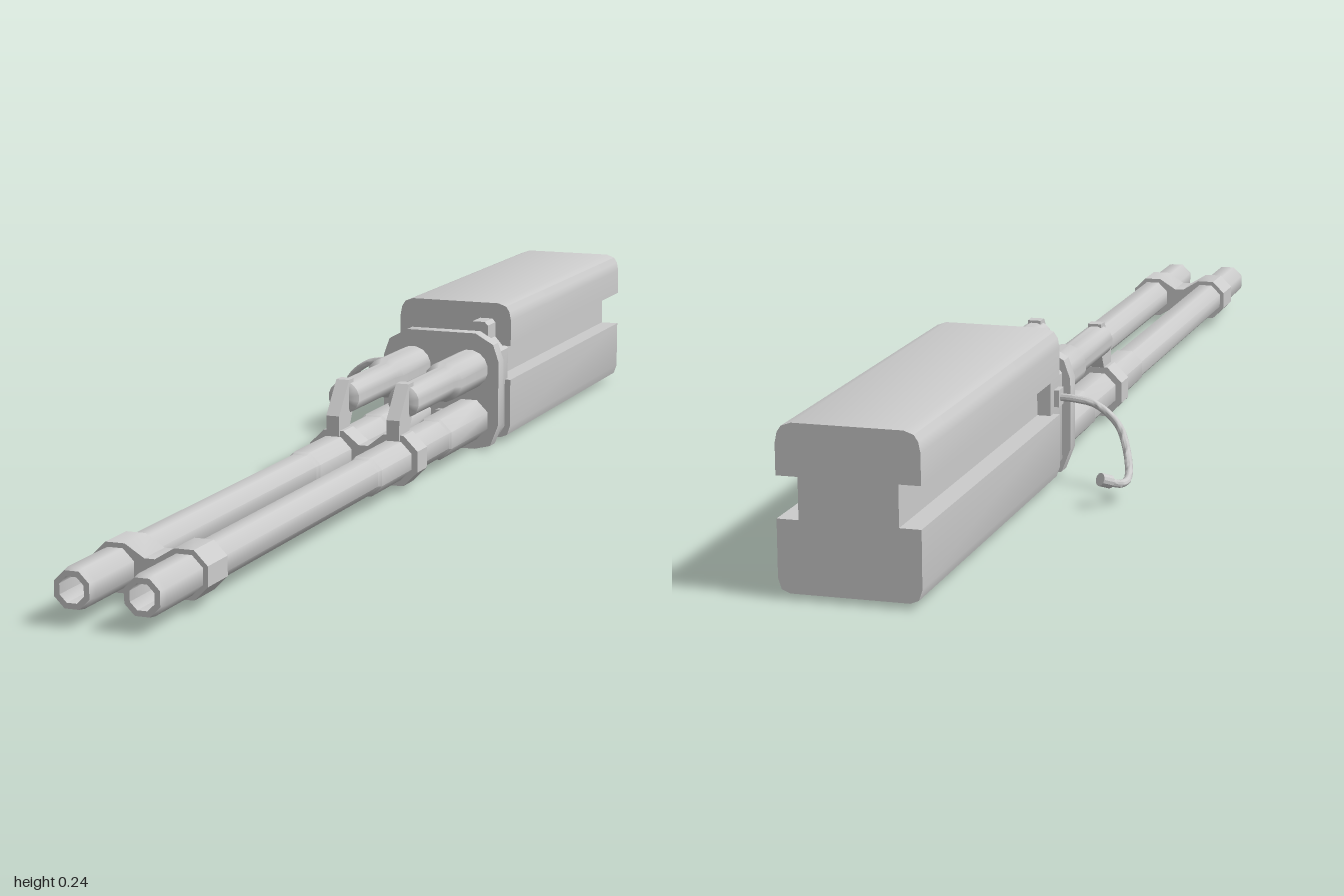
import * as THREE from 'three';
import { toCreasedNormals } from 'three/addons/utils/BufferGeometryUtils.js';

const CX = 0.061;          // shared centre line of the paired parts
const D = 0.0515;          // half spacing of the barrels
const BY = 0.053;          // barrel height
const TY = 0.14;           // upper tube height
const mat = new THREE.MeshStandardMaterial({ color: 0xcccccc });

export function createModel() {
  const model = new THREE.Group();

  const add = (name, geo, crease = 0.6) => {
    const mesh = new THREE.Mesh(toCreasedNormals(geo, crease), mat);
    mesh.name = name;
    model.add(mesh);
    return mesh;
  };

  // Outline in x/y extruded from z0 to z1
  const slab = (name, pts, z0, z1) => {
    const shape = new THREE.Shape(pts.map(([x, y]) => new THREE.Vector2(x, y)));
    const geo = new THREE.ExtrudeGeometry(shape, { depth: z1 - z0, bevelEnabled: false });
    return add(name, geo.translate(0, 0, z0));
  };

  // Right half of an outline (bottom to top) mirrored about x = 0
  const mirrored = (half) => [...half, ...half.map(([x, y]) => [-x, y]).reverse()];

  // Turned part along z from [radius, z] pairs, with flats facing the axes
  const turned = (name, profile, sides, x, y) => {
    const k = 1 / Math.cos(Math.PI / sides);
    const pts = profile.map(([r, z]) => new THREE.Vector2(r * k, z));
    const geo = new THREE.LatheGeometry(pts, sides, Math.PI / sides).rotateX(Math.PI / 2);
    return add(name, geo, 0.82).position.set(x, y, 0);
  };

  const box = (name, x0, x1, y0, y1, z0, z1) =>
    add(name, new THREE.BoxGeometry(x1 - x0, y1 - y0, z1 - z0)
      .translate((x0 + x1) / 2, (y0 + y1) / 2, (z0 + z1) / 2));

  // Receiver with rounded corners and a groove down each side
  slab('receiver', mirrored([
    [0.084, 0.01], [0.096, 0.015], [0.101, 0.03],
    [0.101, 0.112], [0.07, 0.112], [0.07, 0.171], [0.101, 0.171],
    [0.101, 0.215], [0.098, 0.23], [0.092, 0.239], [0.078, 0.244],
  ]), -1, -0.355).position.x = CX;

  // Front plate, neck block and raised catch
  slab('frontPlate', mirrored([
    [0.062, 0.002], [0.09, 0.009], [0.104, 0.045],
    [0.104, 0.155], [0.094, 0.184], [0.062, 0.202],
  ]), -0.308, -0.282).position.x = CX;
  slab('neckBlock', mirrored([
    [0.08, 0.012], [0.091, 0.03], [0.091, 0.165], [0.07, 0.19],
  ]), -0.37, -0.3).position.x = CX;
  slab('catch', [
    [0.1, 0.17], [0.134, 0.17], [0.134, 0.211], [0.128, 0.217], [0.106, 0.217], [0.1, 0.211],
  ], -0.37, -0.315);
  turned('centrePin', [[0, -0.3], [0.015, -0.3], [0.015, -0.272], [0, -0.272]], 16, CX, BY);

  for (const s of [-1, 1]) {
    const x = CX + s * D;
    // Octagonal barrel with open bore
    turned('barrel', [
      [0, -0.3], [0.034, -0.3], [0.034, -0.1], [0.031, -0.095], [0.031, 0.21],
      [0.028, 0.22], [0.028, 0.985], [0.026, 1], [0.018, 1], [0.018, 0.9], [0, 0.9],
    ], 8, x, BY);

    // Upper tube
    turned('upperTube', [
      [0, -0.3], [0.033, -0.3], [0.033, -0.15], [0.026, -0.14],
      [0.026, 0.035], [0.02, 0.04], [0, 0.04],
    ], 16, x, TY);

    // Slanted strut from tube tip to rear clamp, drawn in z/y
    const strut = new THREE.Shape([
      [0.02, 0.17], [0.02, 0.125], [0.042, 0.085], [0.083, 0.085], [0.083, 0.118], [0.04, 0.17],
    ].map(([z, y]) => new THREE.Vector2(-z, y)));
    add('strut', new THREE.ExtrudeGeometry(strut, { depth: 0.022, bevelEnabled: false })
      .translate(0, 0, -0.011).rotateY(Math.PI / 2)).position.x = x;
  }

  // Clamps: two octagons joined by a narrow waist
  const clamp = (name, R, w, z0, z1) => {
    const t = R * 0.414;
    slab(name, mirrored([
      [0.008, -w], [D - t, -R], [D + t, -R], [D + R, -t],
      [D + R, t], [D + t, R], [D - t, R], [0.008, w],
    ]), z0, z1).position.set(CX, BY, 0);
  };
  clamp('rearClamp', 0.041, 0.02, 0.037, 0.08);
  clamp('frontClamp', 0.035, 0.017, 0.805, 0.87);

  // Curved cable with end plug on the side
  const path = [
    [-0.02, 0.135, -0.34], [-0.06, 0.134, -0.341], [-0.095, 0.127, -0.343],
    [-0.13, 0.1, -0.35], [-0.15, 0.064, -0.372], [-0.161, 0.035, -0.408],
    [-0.156, 0.034, -0.44], [-0.14, 0.043, -0.46],
  ].map((p) => new THREE.Vector3(...p));
  const curve = new THREE.CatmullRomCurve3(path);
  add('cable', new THREE.TubeGeometry(curve, 40, 0.006, 10), 1);
  const plug = add('cablePlug', new THREE.CylinderGeometry(0.01, 0.01, 0.02, 12));
  plug.position.copy(path[path.length - 1]);
  plug.quaternion.setFromUnitVectors(new THREE.Vector3(0, 1, 0), curve.getTangent(1));
  box('cableSocket', -0.038, -0.02, 0.122, 0.148, -0.353, -0.327);

  return model;
}
